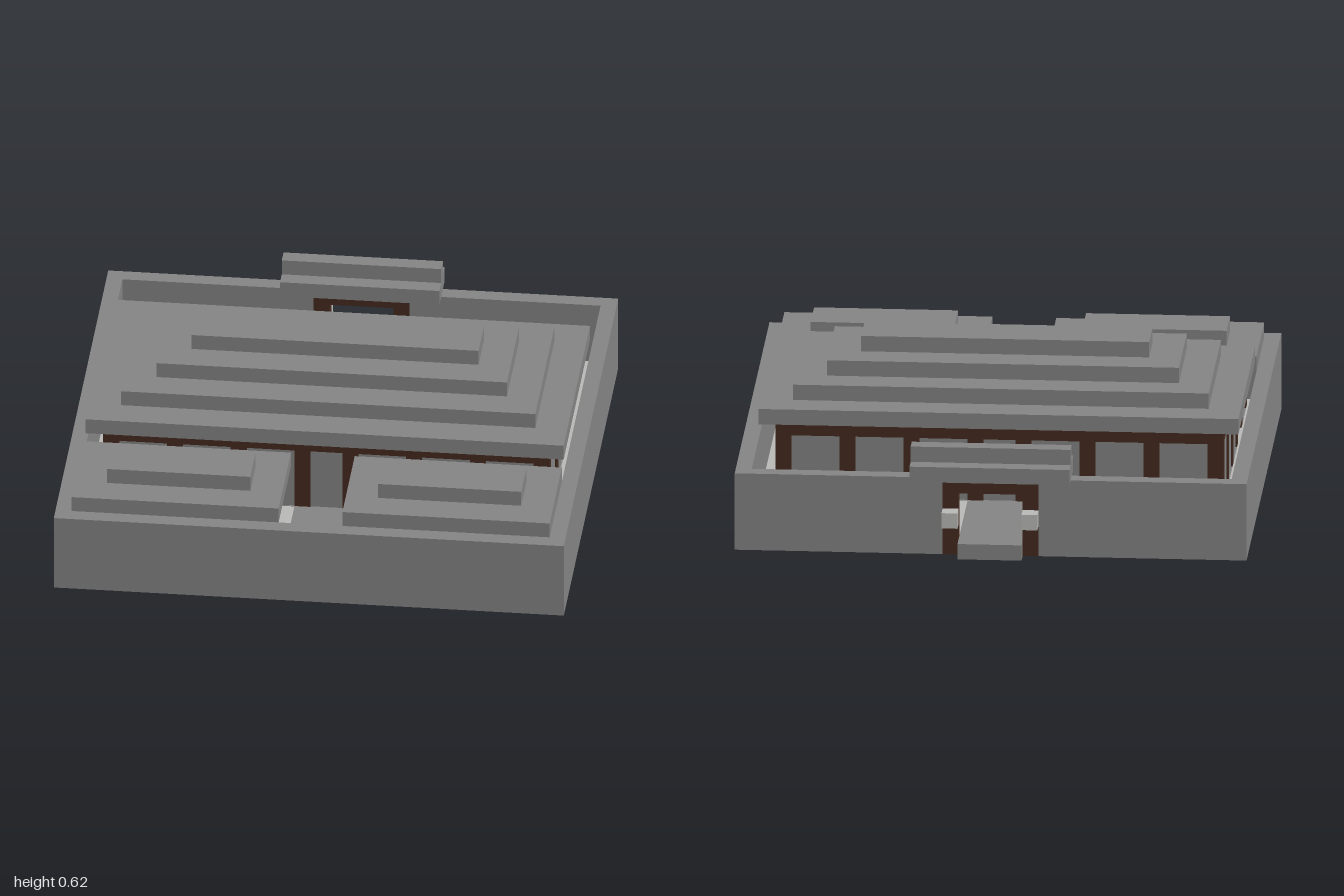
import * as THREE from 'three';

const U = 1 / 16; // one grid block

const mat = (name, color) => {
  const m = new THREE.MeshStandardMaterial({ color });
  m.name = name;
  return m;
};

export function createModel() {
  const stone = mat('stone grey', 0x868686);
  const pale = mat('pale stone', 0xbcbcba);
  const wood = mat('dark wood', 0x452a1f);
  const gold = mat('lantern gold', 0xb0853f);
  const model = new THREE.Group();
  model.name = 'courtyardHouse';

  // Box between two corners given in blocks
  const box = (parent, name, m, x0, x1, y0, y1, z0, z1) => {
    const mesh = new THREE.Mesh(new THREE.BoxGeometry((x1 - x0) * U, (y1 - y0) * U, (z1 - z0) * U), m);
    mesh.position.set((x0 + x1) / 2 * U, (y0 + y1) / 2 * U, (z0 + z1) / 2 * U);
    mesh.name = name;
    parent.add(mesh);
  };
  // The same box on both sides of x = 0
  const pair = (parent, name, m, x0, x1, ...yz) => {
    box(parent, name + 'Left', m, x0, x1, ...yz);
    box(parent, name + 'Right', m, -x1, -x0, ...yz);
  };
  const group = (name) => {
    const g = new THREE.Group();
    g.name = name;
    model.add(g);
    return g;
  };

  // Courtyard floor with darker paths and building bases
  const floor = group('floor');
  box(floor, 'courtyardPaving', pale, -15, 15, 0.03, 0.97, -14, 15);
  box(floor, 'hallBase', stone, -14, 14, 0, 1, -7, 6);
  box(floor, 'backPath', stone, -2, 2, 0, 1, -15, -7);
  box(floor, 'frontPath', stone, -2, 2, 0, 1, 6, 15);
  pair(floor, 'wingBase', stone, 3, 14, 0, 1, 9, 14);

  // Perimeter wall, open at the gate
  const wall = group('perimeterWall');
  pair(wall, 'sideWall', stone, 15, 16, 0, 5, -15, 16);
  box(wall, 'frontWall', stone, -15, 15, 0, 5, 15, 16);
  pair(wall, 'backWall', stone, 3, 15, 0, 5, -15, -14);

  // Gate
  const gate = group('gate');
  box(gate, 'gateStep', stone, -2, 2, 0, 1, -16, -15);
  pair(gate, 'gatePost', wood, 2, 3, 0, 5, -15, -14);
  box(gate, 'gateLintel', wood, -2, 2, 4, 5, -15, -14);
  box(gate, 'gateRoof', stone, -5, 5, 5, 6, -16, -13);
  box(gate, 'gateRidge', stone, -5, 5, 6, 7, -15, -14);
  pair(gate, 'outerLantern', pale, 2, 3, 2, 3, -16, -15);
  pair(gate, 'innerLantern', gold, 3, 4, 2, 3, -14, -12);

  // Timber-framed building: recessed panels, columns around the edge, top beam
  const frame = (g, x0, x1, z0, z1, beamY, xs, zs) => {
    const r = 0.08;
    box(g, 'wallPanels', stone, x0 + r, x1 - r, 1, beamY, z0 + r, z1 - r);
    box(g, 'topBeam', wood, x0, x1, beamY, beamY + 1, z0, z1);
    for (const x of xs) for (const z of zs) {
      const edge = x === x0 || x === x1 - 1 || z === z0 || z === z1 - 1;
      if (edge) box(g, 'column', wood, x, x + 1, 1, beamY, z, z + 1);
    }
  };

  // Main hall with a four-tier roof
  const hall = group('mainHall');
  frame(hall, -14, 14, -7, 6, 5, [-14, -10, -6, -2, 1, 5, 9, 13], [-7, -3, 1, 5]);
  for (let i = 0; i < 4; i++) {
    box(hall, 'roofTier', stone, -15 + 2 * i, 15 - 2 * i, 6 + i, 7 + i, -8 + 2 * i, 7 - 2 * i);
  }
  pair(hall, 'hallLantern', gold, 1, 2, 3, 4, -8, -7);

  // Two front wings with two-tier roofs
  for (const side of [1, -1]) {
    const wing = group(side > 0 ? 'leftWing' : 'rightWing');
    const x0 = side > 0 ? 3 : -14;
    frame(wing, x0, x0 + 11, 9, 14, 4, [x0, x0 + 5, x0 + 10], [9, 13]);
    box(wing, 'lowerRoof', stone, x0 - 1, x0 + 12, 5, 6, 8, 15);
    box(wing, 'upperRoof', stone, x0 + 1, x0 + 10, 6, 7, 10, 13);
  }
  return model;
}
